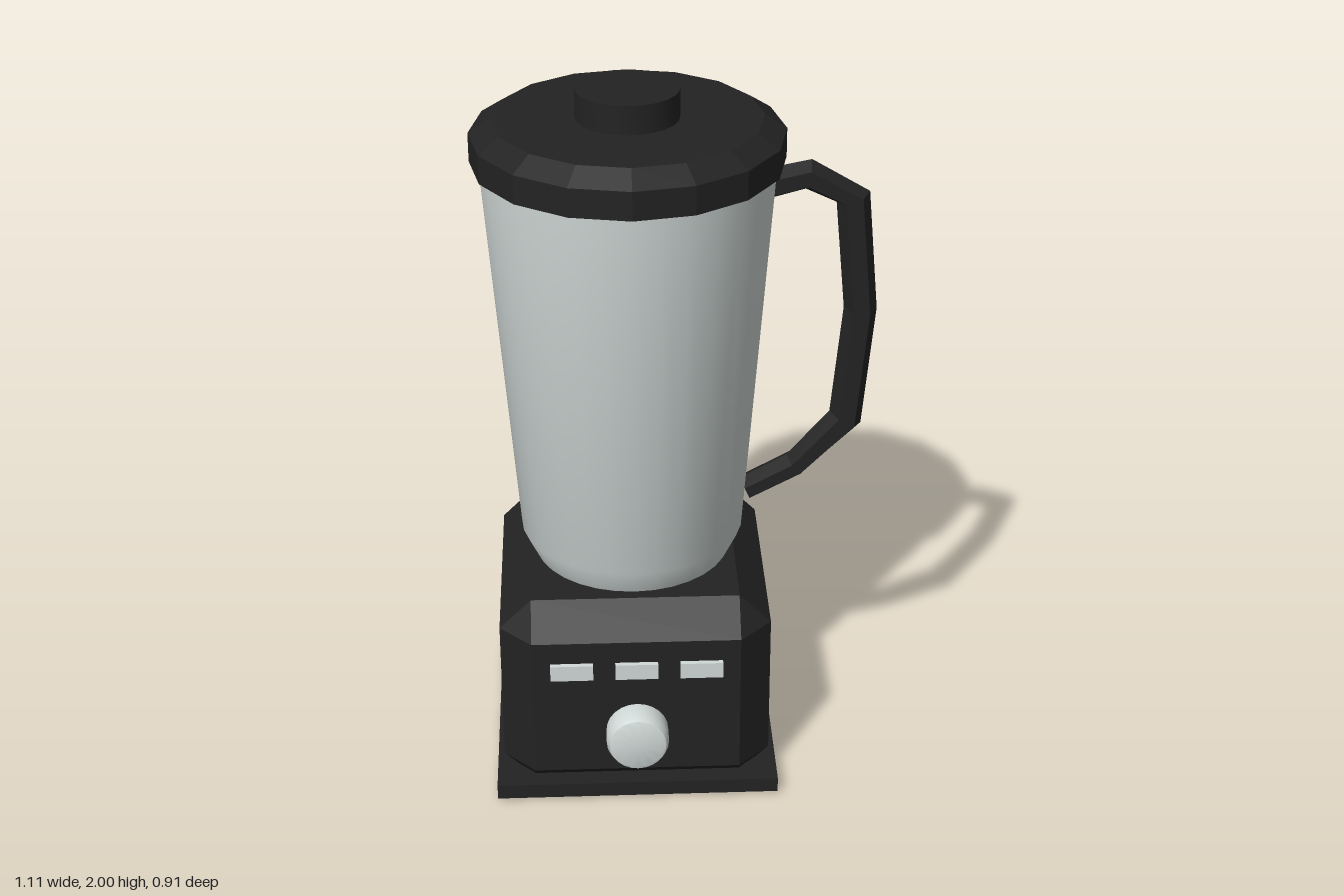
import * as THREE from 'three';
import { toCreasedNormals } from 'three/addons/utils/BufferGeometryUtils.js';
import { ConvexGeometry } from 'three/addons/geometries/ConvexGeometry.js';

// Vertical axis of the jar and base
const CX = -0.134, CZ = -0.03;

const makeMaterial = (name, color) => {
  const m = new THREE.MeshStandardMaterial({ color });
  m.name = name;
  return m;
};

function lathe(profile, sides, crease) {
  const points = profile.map(([r, y]) => new THREE.Vector2(r, y));
  return toCreasedNormals(new THREE.LatheGeometry(points, sides), crease);
}

// Box with every edge cut at 45 degrees, standing on y = 0
function chamferedBox(w, h, d, c) {
  const points = [];
  for (const x of [-1, 1]) for (const y of [-1, 1]) for (const z of [-1, 1]) {
    for (let cut = 0; cut < 3; cut++) {
      points.push(new THREE.Vector3(
        x * (w / 2 - (cut === 0 ? 0 : c)),
        h / 2 + y * (h / 2 - (cut === 1 ? 0 : c)),
        z * (d / 2 - (cut === 2 ? 0 : c))));
    }
  }
  return new ConvexGeometry(points);
}

// Six-sided bar running through pairs of outer and inner profile points
function hexBar(stations, halfDepth) {
  const pos = [], index = [];
  stations.forEach(([ox, oy, ix, iy], i) => {
    for (let k = 0; k < 6; k++) {
      const a = k * Math.PI / 3, c = Math.cos(a);
      pos.push((ox + ix) / 2 + (ox - ix) / 2 * c,
        (oy + iy) / 2 + (oy - iy) / 2 * c,
        halfDepth * Math.sin(a) / Math.sin(Math.PI / 3));
      if (i === 0) continue;
      const p = (i - 1) * 6, n = (k + 1) % 6;
      index.push(p + k, p + n, p + 6 + k, p + n, p + 6 + n, p + 6 + k);
    }
  });
  const last = (stations.length - 1) * 6;
  for (let k = 1; k < 5; k++) {
    index.push(0, k + 1, k, last, last + k, last + k + 1);
  }
  const g = new THREE.BufferGeometry();
  g.setAttribute('position', new THREE.Float32BufferAttribute(pos, 3));
  g.setIndex(index);
  return toCreasedNormals(g, 0.1);
}

export function createModel() {
  const model = new THREE.Group();
  model.name = 'blender';
  const black = makeMaterial('black plastic', 0x232323);
  const silver = makeMaterial('pale grey', 0xd1dad8);

  const add = (name, geometry, material, x = CX, y = 0, z = CZ) => {
    const mesh = new THREE.Mesh(geometry, material);
    mesh.name = name;
    mesh.position.set(x, y, z);
    model.add(mesh);
    return mesh;
  };

  // Base
  add('plinth', new THREE.BoxGeometry(0.805, 0.045, 0.845), black, CX, 0.0315);
  add('motorHousing', chamferedBox(0.765, 0.61, 0.805, 0.09), black);

  // Controls on the front of the housing
  for (const i of [-1, 0, 1]) {
    add('button', new THREE.BoxGeometry(0.12, 0.048, 0.03), silver, CX + i * 0.182, 0.43, 0.372);
  }
  const knob = add('knob', lathe([[0.088, 0], [0.088, 0.058], [0.08, 0.076], [0.07, 0.08], [0, 0.08]], 24, 0.5),
    silver, CX, 0.225, 0.373);
  knob.rotation.x = Math.PI / 2;

  // Jar, lid and filler cap
  add('jar', lathe([[0, 0.6], [0.28, 0.61], [0.318, 0.69], [0.402, 1.805]], 32, 0.6), silver);
  add('lid', lathe([[0, 1.8], [0.425, 1.8], [0.425, 1.88], [0.365, 1.92], [0, 1.92]], 16, 0.1), black);
  add('fillerCap', lathe([[0.14, 1.91], [0.14, 2], [0, 2]], 24, 0.5), black);

  // Handle on the left side: outer x, y then inner x, y
  add('handle', hexBar([
    [0.258, 1.77, 0.252, 1.68],
    [0.36, 1.79, 0.345, 1.705],
    [0.52, 1.695, 0.43, 1.665],
    [0.552, 1.345, 0.46, 1.35],
    [0.52, 0.985, 0.43, 1.025],
    [0.36, 0.83, 0.31, 0.885],
    [0.21, 0.752, 0.183, 0.815],
  ], 0.043), black, 0);

  return model;
}
